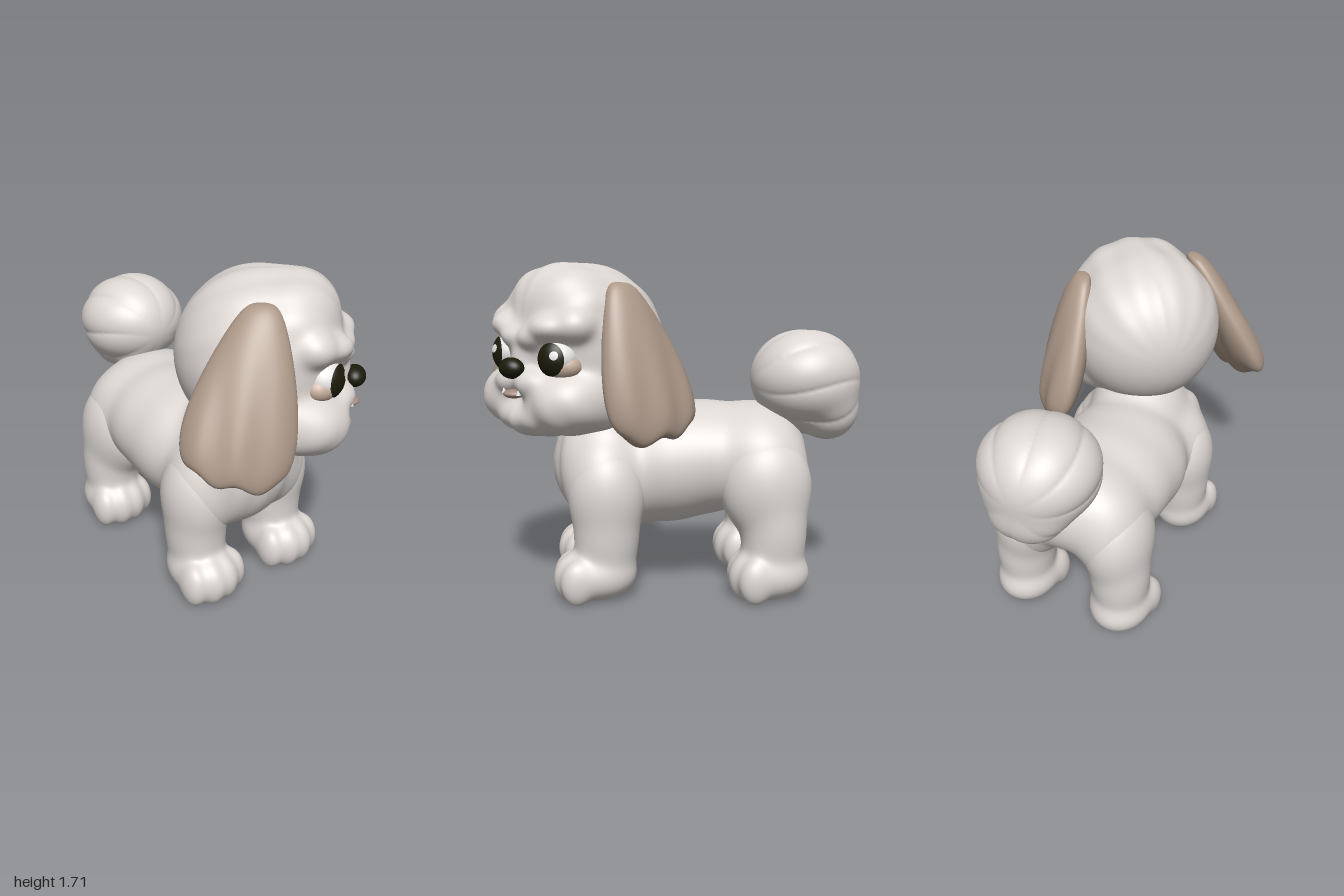
import * as THREE from 'three';
import { mergeVertices } from 'three/addons/utils/BufferGeometryUtils.js';

const mat = (name, color) => Object.assign(new THREE.MeshStandardMaterial({ color }), { name });

function add(parent, name, geometry, material, position = [0, 0, 0], scale = [1, 1, 1], rotation = [0, 0, 0]) {
  const mesh = new THREE.Mesh(geometry, material);
  mesh.name = name;
  mesh.position.set(...position);
  mesh.scale.set(...scale);
  mesh.rotation.set(...rotation);
  parent.add(mesh);
  return mesh;
}

// Unit sphere with even triangles and shared vertices
function ball(detail) {
  const g = new THREE.IcosahedronGeometry(1, detail);
  g.deleteAttribute('uv');
  g.deleteAttribute('normal');
  return mergeVertices(g);
}

// Move each vertex by a rule, then smooth the normals
function shape(g, rule) {
  const p = g.attributes.position, v = new THREE.Vector3();
  for (let i = 0; i < p.count; i++) {
    rule(v.fromBufferAttribute(p, i));
    p.setXYZ(i, v.x, v.y, v.z);
  }
  g.computeVertexNormals();
  return g;
}

// Soft sculpted form: a skin wrapped around ellipsoids [x, y, z, rx, ry, rz]
// that melt together; fur(direction) scales the skin for locks of hair
function blob(center, parts, { detail = 16, k = 40, fur = () => 1, floor = -9 } = {}) {
  const c = new THREE.Vector3(...center), q = new THREE.Vector3();
  const inside = (d, r) => {
    q.copy(d).multiplyScalar(r).add(c);
    let sum = 0;
    for (const [x, y, z, a, b, e] of parts) {
      const dist = Math.hypot((q.x - x) / a, (q.y - y) / b, (q.z - z) / e) - 1;
      sum += Math.exp(-k * dist * Math.min(a, b, e));
    }
    return sum > 1;
  };
  return shape(ball(detail), (v) => {
    const d = v.clone().normalize();
    let hi = 1.1;
    while (hi > 0.03 && !inside(d, hi)) hi -= 0.025;
    let lo = hi;
    hi += 0.025;
    for (let i = 0; i < 10; i++) {
      const m = (lo + hi) / 2;
      if (inside(d, m)) lo = m; else hi = m;
    }
    v.copy(d).multiplyScalar(lo * fur(d)).add(c);
    v.y = Math.max(v.y, floor);
  });
}

// Hanging ear: narrow at the root, thick, wide and scalloped at the tip;
// spread swings the tip away from the head
function earGeometry(s, spread) {
  return shape(ball(22), (v) => {
    const t = (1 - v.y) / 2;
    const round = Math.max(0, 1 - v.y * v.y) ** 0.27;
    const a = Math.atan2(v.x, v.z);
    const fwd = 0.015 - 0.08 * t + Math.cos(a) * round * (0.13 + 0.19 * t);
    const lock = Math.cos(34 * fwd + 1);
    const out = 0.31 + spread * t ** 0.85 - 0.15 * fwd * t - 0.2 * fwd * fwd;
    const thick = Math.sin(a) * round * (0.08 + 0.05 * t + 0.008 * lock * t);
    const y = 0.37 - 0.76 * t - 0.8 * spread * fwd * t + 0.018 * lock * t ** 4;
    v.set(s * out + thick, y, fwd);
  });
}

export function createModel() {
  const root = new THREE.Group();
  root.name = 'puppy';
  const coat = mat('coat', 0xddd7d3);
  const tan = mat('earTan', 0xad9989);
  const lid = mat('eyelidTan', 0xc6ae9c);
  const dark = mat('noseAndPupil', 0x1c1b0a);
  const white = mat('eyeWhite', 0xf0efec);
  const lip = mat('mouth', 0xa58c7e);
  const sides = [1, -1];

  // Torso with chest, neck, belly, rump, shoulders and thighs
  const torso = [
    [0.01, 0.61, 0.29, 0.33, 0.315, 0.32],
    [0.03, 0.84, 0.34, 0.26, 0.22, 0.25],
    [0, 0.655, 0.02, 0.36, 0.325, 0.33],
    [0.005, 0.68, -0.18, 0.355, 0.305, 0.33],
    [0.06, 0.72, -0.43, 0.34, 0.265, 0.285],
  ];
  for (const s of sides) {
    torso.push([0.02 + s * 0.23, 0.58, 0.37, 0.18, 0.25, 0.19]);
    torso.push([0.06 + s * 0.21, 0.61, -0.47, 0.185, 0.27, 0.22]);
  }
  // tufts on the chest
  for (let i = -2; i <= 2; i++) torso.push([i * 0.11, 0.66 + 0.03 * Math.abs(i), 0.55 - 0.012 * i * i, 0.05, 0.12, 0.07]);
  add(root, 'torso', blob([0.02, 0.65, 0], torso, { detail: 30 }), coat);

  // Legs, each with a wide upper part, a paw and four toes
  const leg = (name, x, z, top, shin) => {
    const parts = [
      top,
      [x, 0.34, shin, 0.155, 0.3, 0.165],
      [x, 0.12, z, 0.165, 0.13, 0.195],
    ];
    for (let i = -1.5; i <= 1.5; i++) parts.push([x + i * 0.088, 0.105, z + 0.145 - 0.018 * i * i, 0.05, 0.105, 0.07]);
    add(root, name, blob([x, 0.22, z - 0.02], parts, { detail: 22, k: 55, floor: 0 }), coat);
  };
  for (const s of sides) {
    const side = s > 0 ? 'Left' : 'Right';
    const fx = 0.02 + s * 0.265, hx = 0.065 + s * 0.28;
    leg('front' + side + 'Leg', fx, 0.405, [fx, 0.54, 0.355, 0.17, 0.25, 0.195], 0.355);
    leg('hind' + side + 'Leg', hx, -0.49, [hx - s * 0.03, 0.57, -0.465, 0.185, 0.27, 0.235], -0.505);
  }

  // Curled pompom tail with combed locks
  add(root, 'tail', blob([0.1, 1.08, -0.71], [
    [0.105, 1.115, -0.705, 0.3, 0.255, 0.285],
    [0.12, 0.95, -0.82, 0.2, 0.165, 0.16],
    [0.08, 0.92, -0.62, 0.12, 0.12, 0.12],
  ], {
    detail: 28,
    fur: (d) => {
      const a = Math.atan2(d.y, d.x) + 0.25 * d.z;
      return 1.01 - 0.06 * (1 - d.z * d.z) * (1 - Math.sqrt(Math.abs(Math.sin(4 * a))));
    },
  }), coat);

  // Head, turned to its left and slightly tilted
  const head = new THREE.Group();
  head.name = 'head';
  head.position.set(0.08, 1.25, 0.48);
  head.rotation.set(0, 0.715, -0.04, 'YXZ');
  root.add(head);
  const skull = [
    [0, 0.035, -0.035, 0.415, 0.42, 0.405],
    [0, 0.23, 0.13, 0.32, 0.22, 0.22],
    [0, -0.305, 0.27, 0.2, 0.1, 0.17],
    [0, -0.02, 0.33, 0.07, 0.09, 0.08],
  ];
  for (const s of sides) {
    skull.push(
      // brow ridge, low in the middle and rising outwards
      [s * 0.07, 0.09, 0.345, 0.065, 0.05, 0.075],
      [s * 0.16, 0.145, 0.325, 0.09, 0.06, 0.09],
      [s * 0.26, 0.16, 0.25, 0.09, 0.08, 0.09],
      // cheek, jaw and whisker pad
      [s * 0.19, -0.22, 0.24, 0.19, 0.155, 0.19],
      [s * 0.27, -0.2, 0.1, 0.13, 0.16, 0.22],
      [s * 0.08, -0.125, 0.36, 0.09, 0.065, 0.085],
    );
  }
  add(head, 'skull', blob([0, 0, 0], skull, {
    detail: 40, k: 50,
    fur: (d) => {
      const crown = Math.max(0, d.y) * Math.sqrt(1 - d.z * d.z);
      const beard = Math.max(0, -d.y) * Math.max(0, d.z);
      return 1 + 0.01 * crown * Math.sin(15 * Math.atan2(Math.abs(d.x), d.y) + 4 * d.z)
        + 0.014 * beard * Math.sin(24 * Math.abs(d.x) + 6 * d.y);
    },
  }), coat);

  // Nose and mouth
  const round = new THREE.SphereGeometry(1, 28, 20);
  add(head, 'nose', round, dark, [0.008, -0.055, 0.438], [0.074, 0.052, 0.055]);
  add(head, 'mouth', round, lip, [0.005, -0.182, 0.423], [0.055, 0.022, 0.05]);

  // Eyes, eyelids, teeth and ears on both sides
  const iris = new THREE.SphereGeometry(1, 28, 10, 0, Math.PI * 2, 0, 0.85).rotateX(Math.PI / 2);
  const glint = new THREE.SphereGeometry(1, 14, 5, 0, Math.PI * 2, 0, 0.22).rotateX(Math.PI / 2);
  for (const s of sides) {
    const side = s > 0 ? 'left' : 'right';
    add(head, side + 'Eyelid', round, lid, [s * 0.208, -0.036, 0.285], [0.104, 0.07, 0.08], [0, s * 0.4, 0]);
    const eye = new THREE.Group();
    eye.name = side + 'Eye';
    eye.position.set(s * 0.195, 0, 0.3);
    eye.rotation.y = s * 0.38;
    head.add(eye);
    add(eye, 'eyeball', round, white, [0, 0, 0], [0.098, 0.088, 0.088]);
    add(eye, 'pupil', iris, dark, [-s * 0.004, 0, 0.002], [0.096, 0.106, 0.092]);
    add(eye, 'glint', glint, white, [0, 0, 0.003], [0.1, 0.1, 0.096], [-0.25, 0.3, 0]);
    add(head, side + 'Tooth', new THREE.ConeGeometry(0.012, 0.04, 12), white, [s * 0.06, -0.165, 0.435]);
    add(head, side + 'Ear', earGeometry(s, s > 0 ? 0.23 : 0.29), tan);
  }
  return root;
}
